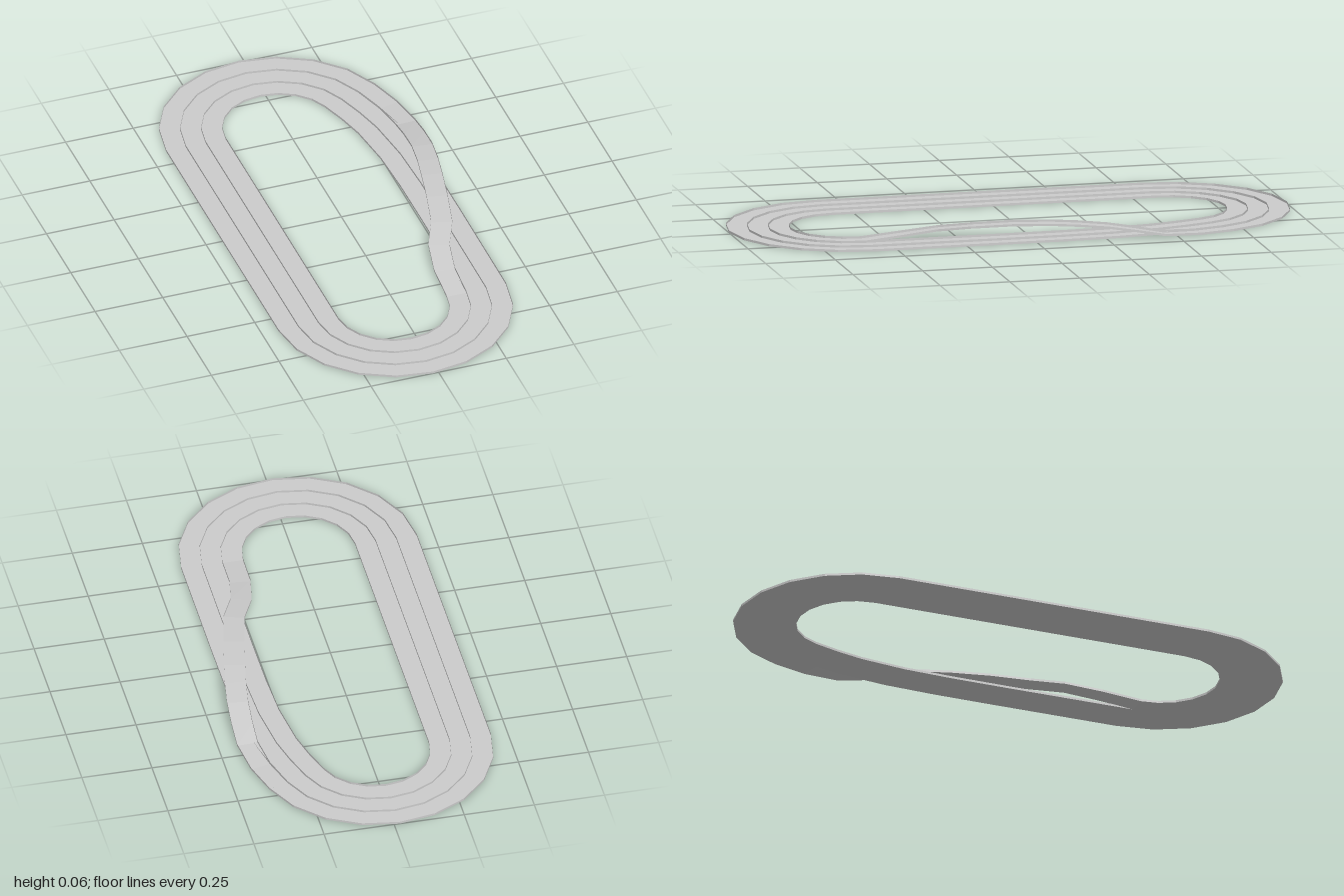
import * as THREE from 'three';

const LANE = 0.22 / 3, WALL = 0.008;
const CX = -0.02, CZ = 0.58, INNER = 0.2;
const material = new THREE.MeshStandardMaterial({ color: 0xcccccc, side: THREE.DoubleSide, flatShading: true });

// Open surface between two equally long lines of points
function ribbon(name, a, b) {
  const pos = [];
  for (let i = 0; i + 1 < a.length; i++) {
    for (const p of [a[i], a[i + 1], b[i], b[i], a[i + 1], b[i + 1]]) pos.push(p.x, p.y, p.z);
  }
  const g = new THREE.BufferGeometry();
  g.setAttribute('position', new THREE.Float32BufferAttribute(pos, 3));
  g.computeVertexNormals();
  const mesh = new THREE.Mesh(g, material);
  mesh.name = name;
  return mesh;
}

// Channel section: rows are [x, z, angle in degrees, height] of the inner edge
function track(name, lanes, rows) {
  const group = new THREE.Group();
  group.name = name;
  const line = (k, lift = 0) => rows.map(([x, z, deg, y = 0]) => {
    const t = THREE.MathUtils.degToRad(deg);
    return new THREE.Vector3(x + k * LANE * Math.cos(t), y + lift, z - k * LANE * Math.sin(t));
  });
  for (let k = 0; k <= lanes; k++) {
    if (k < lanes) group.add(ribbon('laneFloor', line(k), line(k + 1)));
    group.add(ribbon('laneWall', line(k), line(k, WALL)));
  }
  return group;
}

export function createModel() {
  const model = new THREE.Group();
  model.name = 'raceTrack';

  // Three-lane loop: front bend, left straight, rear bend
  const loop = [];
  const bend = (cz, from, steps) => {
    for (let i = 0; i <= steps; i++) {
      const deg = from - i * 18, t = THREE.MathUtils.degToRad(deg);
      loop.push([CX + INNER * Math.cos(t), cz - INNER * Math.sin(t), deg]);
    }
  };
  bend(CZ, 0, 10);
  bend(-CZ, -180, 9);
  model.add(track('mainLoop', 3, loop));

  // Two lanes that shift sideways under the bridge
  model.add(track('shiftingLanes', 2, [
    [0.17, -0.642, 18], [0.2, -0.55, 13], [0.225, -0.45, 10], [0.247, -0.28, 5],
    [0.254, -0.1, 1], [0.255, 0.1, 0], [0.2535, 0.58, 0],
  ]));

  // Single lane crossing over from the inside to the outside
  model.add(track('crossoverBridge', 1, [
    [0.3095, -0.687, 18, 0], [0.345, -0.57, 13, 0.001], [0.362, -0.45, 2, 0.007], [0.36, -0.36, -4, 0.025],
    [0.353, -0.26, -7, 0.042], [0.338, -0.16, -9, 0.051], [0.32, -0.07, -11, 0.055], [0.293, 0.06, -13, 0.055],
    [0.26, 0.2, -18, 0.047], [0.21, 0.31, -18, 0.032], [0.185, 0.44, -6, 0.014], [0.18, 0.58, 0, 0],
  ]));
  return model;
}
